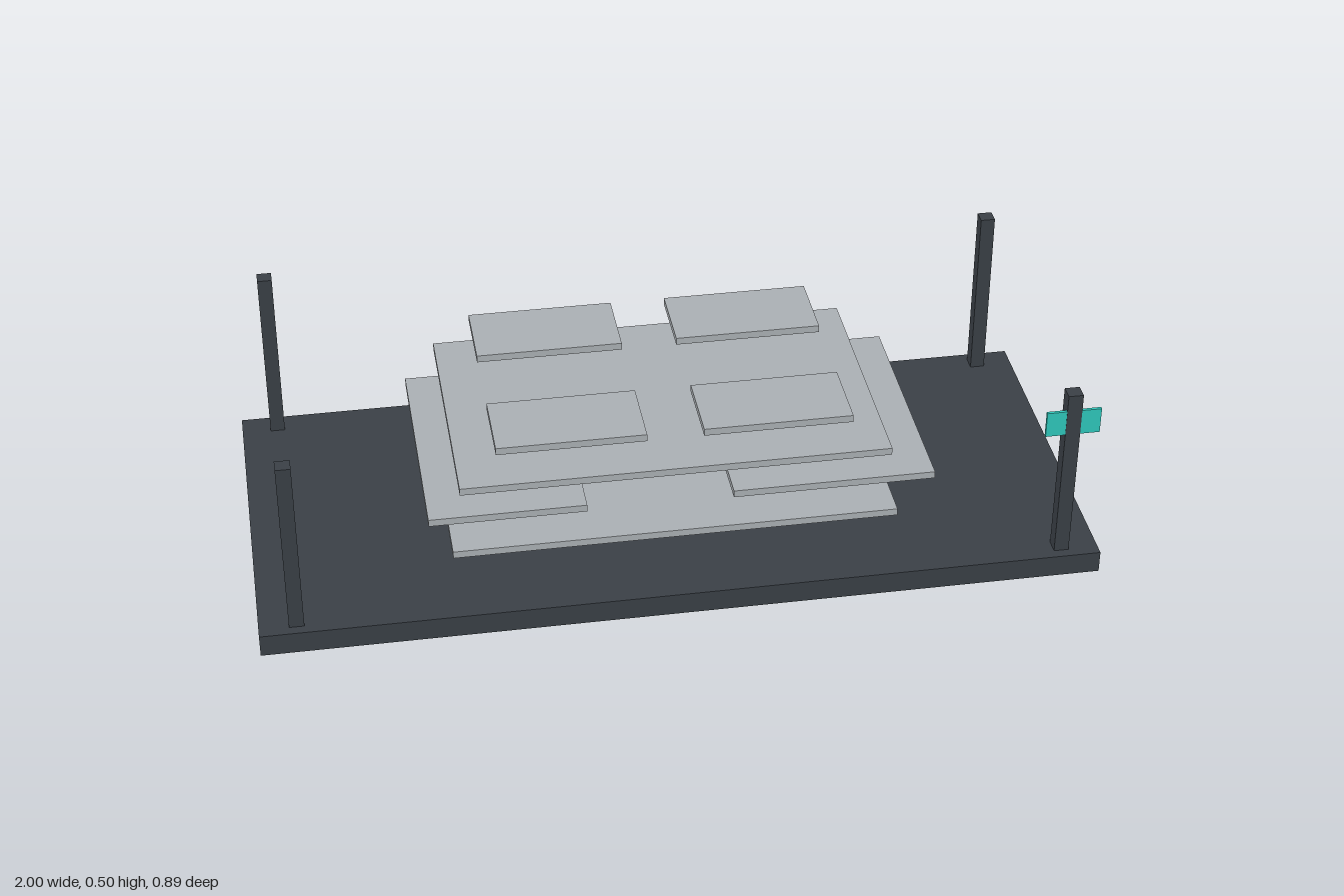
import * as THREE from 'three';

export function createModel() {
  const group = new THREE.Group();
  const material = (name, color) => {
    const m = new THREE.MeshStandardMaterial({ color });
    m.name = name;
    return m;
  };
  const dark = material('charcoal', 0x3a4046);
  const grey = material('lightGrey', 0xabb0b4);
  const teal = material('teal', 0x2fc8bc);

  // Box given by its extents along each axis
  const box = (name, mat, [x0, x1], [y0, y1], [z0, z1]) => {
    const mesh = new THREE.Mesh(new THREE.BoxGeometry(x1 - x0, y1 - y0, z1 - z0), mat);
    mesh.position.set((x0 + x1) / 2, (y0 + y1) / 2, (z0 + z1) / 2);
    mesh.name = name;
    group.add(mesh);
  };

  // Base slab
  box('base', dark, [-1, 1], [0, 0.055], [-0.444, 0.444]);

  // Corner posts
  const half = 0.0178;
  for (const x of [-0.912, 0.91]) {
    for (const z of [-0.402, 0.402]) {
      box('cornerPost', dark, [x - half, x + half], [0.055, 0.5], [z - half, z + half]);
    }
  }

  // Small plate set into the front left post
  box('markerPlate', teal, [0.845, 0.975], [0.392, 0.457], [0.4115, 0.419]);

  // Floating slabs, lowest layer first
  box('lowerSlab', grey, [-0.535, 0.53], [0.126, 0.144], [-0.311, 0.312]);
  for (const x of [[-0.588, -0.215], [0.134, 0.62]]) {
    box('sideSlab', grey, x, [0.216, 0.234], [-0.299, 0.3]);
  }
  box('upperSlab', grey, [-0.513, 0.509], [0.305, 0.323], [-0.311, 0.312]);
  for (const x of [[-0.424, -0.071], [0.063, 0.417]]) {
    for (const z of [[-0.288, -0.102], [0.104, 0.29]]) {
      box('topTile', grey, x, [0.394, 0.412], z);
    }
  }
  return group;
}
